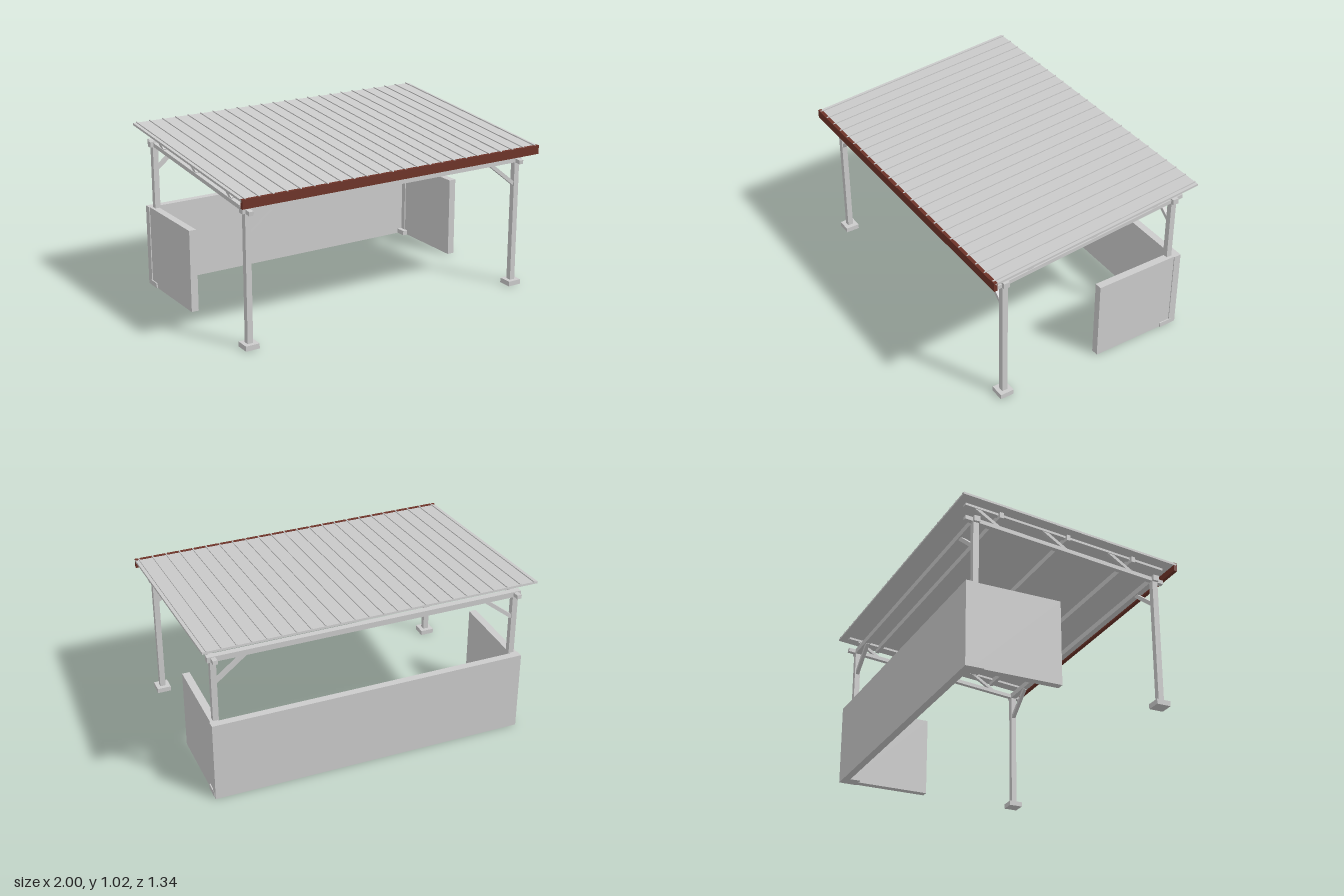
import * as THREE from 'three';

const grey = new THREE.MeshStandardMaterial({ color: 0xcccccc });
const red = new THREE.MeshStandardMaterial({ color: 0x6e3429 });

export function createModel() {
  const model = new THREE.Group();

  // Box given by its size and centre
  const box = (name, w, h, d, x, y, z, material = grey) => {
    const mesh = new THREE.Mesh(new THREE.BoxGeometry(w, h, d), material);
    mesh.name = name;
    mesh.position.set(x, y, z);
    model.add(mesh);
    return mesh;
  };

  // Timber running in the y-z plane at a given x, between two [z, y] points
  const slopedBar = (name, x, [z0, y0], [z1, y1], width, thick) => {
    const bar = box(name, width, thick, Math.hypot(z1 - z0, y1 - y0), x, (y0 + y1) / 2, (z0 + z1) / 2);
    bar.rotation.x = -Math.atan2(y1 - y0, z1 - z0);
    return bar;
  };

  // Timber running in the x-y plane at a given z, between two [x, y] points
  const crossBar = (name, z, [x0, y0], [x1, y1], thick, depth) => {
    const bar = box(name, Math.hypot(x1 - x0, y1 - y0), thick, depth, (x0 + x1) / 2, (y0 + y1) / 2, z);
    bar.rotation.z = Math.atan2(y1 - y0, x1 - x0);
    return bar;
  };

  // Roof sheet with raised standing seams
  slopedBar('roofSheet', 0, [0.665, 0.882], [-0.672, 1.005], 2, 0.013);
  const seams = 24;
  for (let i = 0; i < seams; i++) {
    const x = -0.977 + (i * 1.954) / (seams - 1);
    slopedBar('roofSeam', x, [0.665, 0.891], [-0.672, 1.014], 0.007, 0.008);
  }

  // Coloured board along the low front edge
  box('fascia', 2, 0.053, 0.02, 0, 0.866, 0.66, red);

  // Purlins under the roof
  for (const [z, y] of [[0.41, 0.88], [-0.005, 0.918], [-0.42, 0.956]]) {
    box('purlin', 1.9, 0.034, 0.022, 0, y, z);
  }

  // Front and back frames: header beam, posts, footings and knee braces
  for (const [z, top] of [[0.558, 0.813], [-0.568, 0.915]]) {
    box('headerBeam', 1.9, 0.034, 0.036, 0, top - 0.017, z);
    for (const s of [-1, 1]) {
      box('post', 0.034, top - 0.02, 0.034, s * 0.917, (top - 0.02) / 2, z);
      box('footing', 0.085, 0.03, 0.085, s * 0.916, 0.015, z);
      crossBar('kneeBrace', z, [s * 0.908, top - 0.172], [s * 0.73, top - 0.03], 0.022, 0.022);
    }
  }

  for (const s of [-1, 1]) {
    const x = s * 0.917;
    // Side trusses
    slopedBar('lowerChord', x, [0.615, 0.787], [-0.63, 0.903], 0.028, 0.024);
    slopedBar('upperChord', x, [0.615, 0.872], [-0.63, 0.985], 0.028, 0.014);
    for (const [from, to] of [
      [[0.405, 0.815], [0.265, 0.903]],
      [[-0.01, 0.853], [-0.15, 0.941]],
      [[-0.425, 0.891], [-0.565, 0.978]],
    ]) slopedBar('trussBrace', x, from, to, 0.02, 0.018);

    // Low side wall
    box('sideWall', 0.045, 0.5, 0.525, s * 0.929, 0.25, -0.3295);
  }

  // Low back wall
  box('backWall', 1.914, 0.5, 0.044, 0, 0.25, -0.613);

  return model;
}
